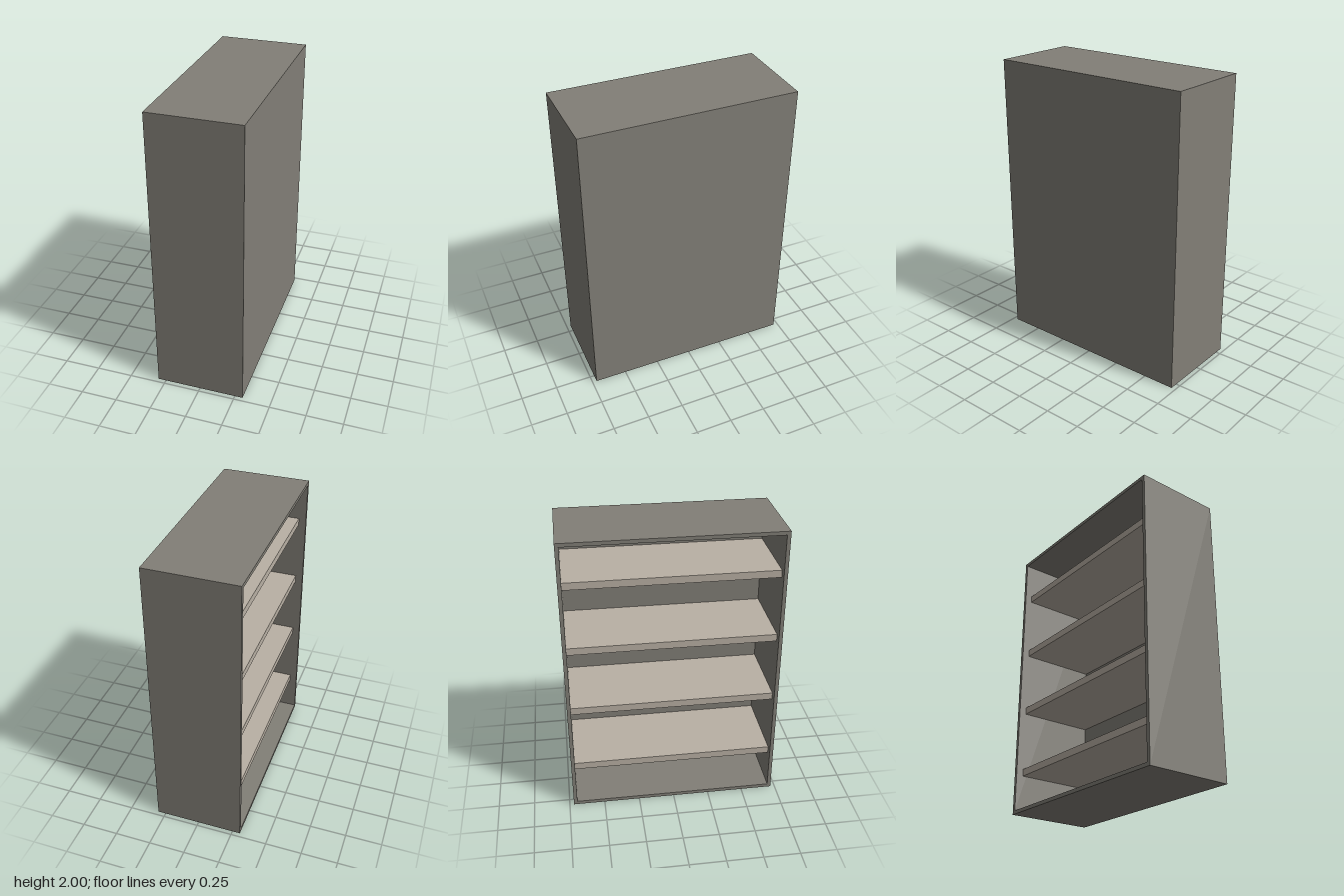
import * as THREE from 'three';

const W = 0.61, H = 2, D = 1.44; // overall size: x, y, z
const T = 0.025;                 // panel thickness
const SETBACK = 0.05;            // shelf edge behind the open side
const SHELF_T = 0.05;

export function createModel() {
  const group = new THREE.Group();
  group.name = 'bookcase';

  const bodyGrey = new THREE.MeshStandardMaterial({ color: 0x827f77 });
  bodyGrey.name = 'bodyGrey';
  const shelfBeige = new THREE.MeshStandardMaterial({ color: 0xb9b0a4 });
  shelfBeige.name = 'shelfBeige';

  const box = (name, size, pos, material) => {
    const mesh = new THREE.Mesh(new THREE.BoxGeometry(...size), material);
    mesh.name = name;
    mesh.position.set(...pos);
    group.add(mesh);
  };

  // Carcass: an outline with a rectangular opening, extruded from the open side (-x)
  const frame = new THREE.Shape();
  frame.moveTo(-D / 2, 0).lineTo(D / 2, 0).lineTo(D / 2, H).lineTo(-D / 2, H).closePath();
  const opening = new THREE.Path();
  const i = D / 2 - T;
  opening.moveTo(-i, T).lineTo(-i, H - T).lineTo(i, H - T).lineTo(i, T).closePath();
  frame.holes.push(opening);
  const frameGeometry = new THREE.ExtrudeGeometry(frame, { depth: W, bevelEnabled: false });
  frameGeometry.rotateY(Math.PI / 2).translate(-W / 2, 0, 0);
  const carcass = new THREE.Mesh(frameGeometry, bodyGrey);
  carcass.name = 'carcass';
  group.add(carcass);

  // Closed panel on the +x side, fitted inside the carcass
  box('backPanel', [T, H - 2 * T, D - 2 * T], [W / 2 - T / 2, H / 2, 0], bodyGrey);

  // Four evenly spaced shelves
  const shelfW = W - T - SETBACK;
  for (let n = 0; n < 4; n++) {
    const top = 0.327 + n * 0.464;
    box(`shelf${n + 1}`, [shelfW, SHELF_T, D - 2 * T],
      [-W / 2 + SETBACK + shelfW / 2, top - SHELF_T / 2, 0], shelfBeige);
  }

  return group;
}
